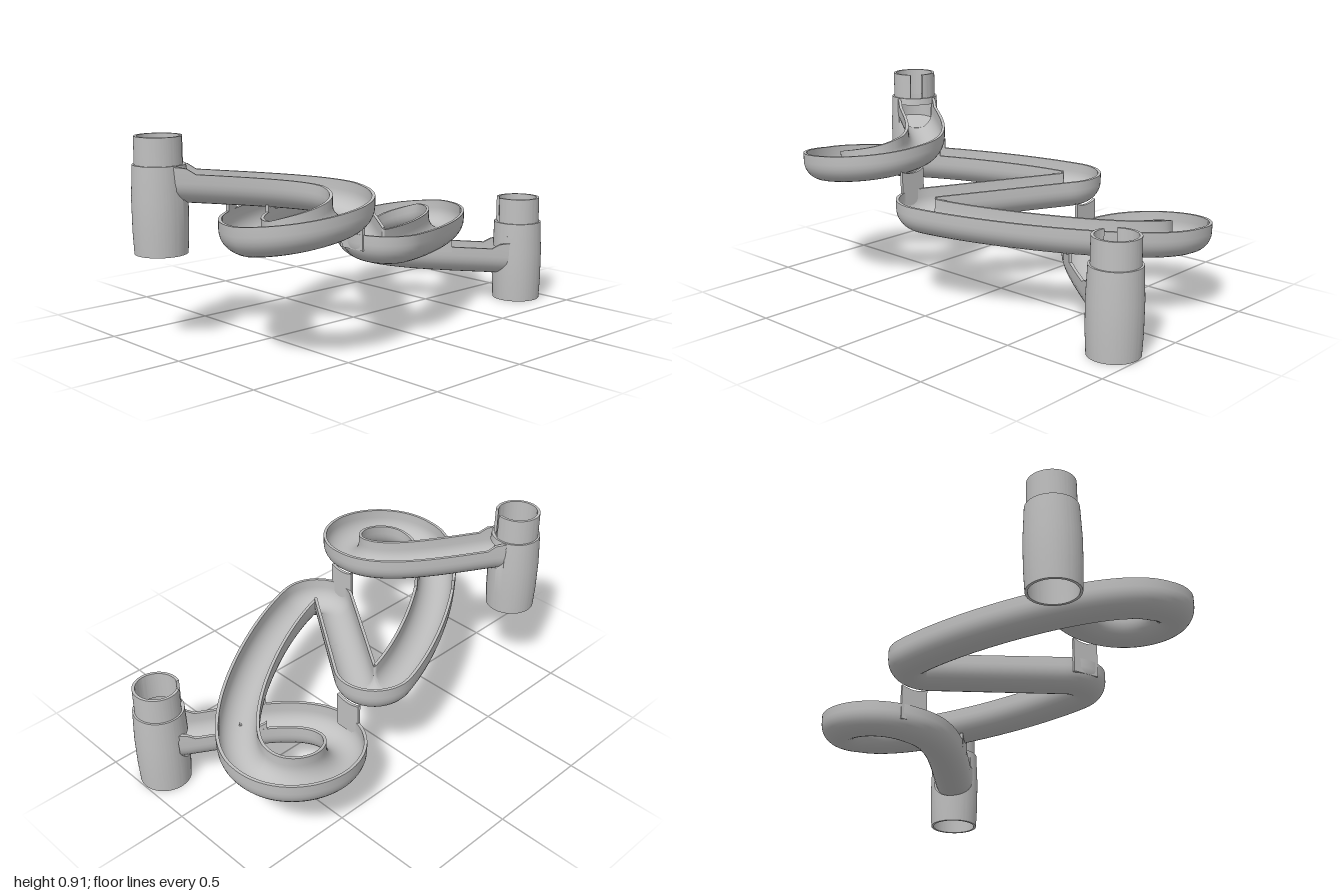
import * as THREE from 'three';
import { toCreasedNormals } from 'three/addons/utils/BufferGeometryUtils.js';

const R = 0.095, T = 0.014, DEPTH = 0.136, MID = 0.511, DROP = 0.246;
const TRACK_ANGLE = Math.atan2(0.6, 0.8);

// Skin a row of closed sections; each section runs along the outside and back along the inside.
function loft(sections, caps) {
  const m = sections[0].length, pos = [];
  const quad = (a, b, c, d) => {
    for (const p of [a, b, c, a, c, d]) pos.push(p.x, p.y, p.z);
  };
  for (let i = 1; i < sections.length; i++) {
    const s = sections[i], q = sections[i - 1];
    for (let j = 0; j < m; j++) {
      const k = (j + 1) % m;
      quad(s[j], s[k], q[k], q[j]);
    }
  }
  if (caps) {
    const a = sections[0], b = sections[sections.length - 1];
    for (let j = 0; j < m / 2 - 1; j++) {
      quad(a[j], a[j + 1], a[m - 2 - j], a[m - 1 - j]);
      quad(b[m - 1 - j], b[m - 2 - j], b[j + 1], b[j]);
    }
  }
  const g = new THREE.BufferGeometry();
  g.setAttribute('position', new THREE.Float32BufferAttribute(pos, 3));
  return toCreasedNormals(g, 0.6);
}

// Plan of the track (x, z): the first half is drawn, the second is its half-turn copy.
function trackPlan() {
  const cx = 0.112, cz = -0.312, r = 0.088, a0 = -104 * Math.PI / 180, a1 = 35.14 * Math.PI / 180;
  const p = new THREE.Path();
  p.moveTo(-0.796, -0.217);
  p.bezierCurveTo(-0.62, -0.085, -0.341, 0.08, -0.341, 0.27);
  p.bezierCurveTo(-0.341, 0.405, -0.46, 0.497, -0.585, 0.497);
  p.bezierCurveTo(-0.71, 0.497, -0.825, 0.415, -0.825, 0.29);
  p.bezierCurveTo(-0.825, 0.05, -0.25, -0.312, cx + r * Math.cos(a0), cz + r * Math.sin(a0));
  p.absarc(cx, cz, r, a0, a1, false);
  p.lineTo(0, 0);
  const half = p.getSpacedPoints(240);
  const rest = half.slice(0, -1).reverse().map(v => v.clone().negate());
  const points = [...half, ...rest], last = points.length - 1;
  const tangents = points.map((_, i) =>
    points[Math.min(i + 1, last)].clone().sub(points[Math.max(i - 1, 0)]).normalize());
  return { points, tangents, last };
}

// Rim height falls along the track, antisymmetric about the middle
function rimHeight(f) {
  const s = f <= 1 ? f : 2 - f, sign = f <= 1 ? 1 : -1;
  const keys = [[0, DROP], [0.22, 0.195], [0.33, 0.147], [0.45, 0.088], [0.9, 0.017], [1, 0]];
  let i = 1;
  while (i < keys.length - 1 && s > keys[i][0]) i++;
  const [s0, h0] = keys[i - 1], [s1, h1] = keys[i];
  return MID + sign * (h0 + (h1 - h0) * (s - s0) / (s1 - s0));
}

function troughGeometry({ points, tangents, last }) {
  // U-shaped section: (sideways, below rim)
  const n = 16;
  const arc = r => {
    const pts = [[-r, 0]];
    for (let i = 0; i <= n; i++) {
      const a = Math.PI + Math.PI * i / n;
      pts.push([r * Math.cos(a), R - DEPTH + r * Math.sin(a)]);
    }
    pts.push([r, 0]);
    return pts;
  };
  const profile = [...arc(R), ...arc(R - T).reverse()];

  const sections = points.map((p, i) => {
    const a = Math.max(i - 1, 0), b = Math.min(i + 1, last), t = tangents[i];
    const k = tangents[a].cross(tangents[b]) / points[a].distanceTo(points[b]);
    const y = rimHeight(2 * i / last);
    // The rims sweep up where they meet a tower
    const lift = 0.03 * Math.max(0, 1 - Math.min(i, last - i) / 4);
    const end = i === 0 ? 1 : i === last ? -1 : 0;
    return profile.map(([u, v]) => {
      // Pinch the inner wall at tight bends so it never folds back
      const w = u * k > 0.97 ? 0.97 / k : u;
      // The end sections wrap around the round tower wall
      const back = end * (Math.sqrt(0.108 ** 2 - u * u) - 0.105);
      return new THREE.Vector3(p.x - t.y * w + t.x * back, y + v + (v === 0 ? lift : 0),
        p.y + t.x * w + t.y * back);
    });
  });
  return loft(sections, true);
}

// Ring wall from a [radius, y] profile, with an optional height limit for each angle
function ringWall(profile, from, to, limit = () => Infinity) {
  const sections = [], n = Math.max(8, Math.round((to - from) / (Math.PI * 2) * 120));
  for (let i = 0; i <= n; i++) {
    const a = to + (from - to) * i / n;
    sections.push(profile.map(([r, y]) =>
      new THREE.Vector3(r * Math.cos(a), Math.min(y, limit(a)), r * Math.sin(a))));
  }
  return loft(sections, to - from < 6.28);
}

export function createModel() {
  const group = new THREE.Group();
  const grey = new THREE.MeshStandardMaterial({ color: 0xc0c0c0 });
  grey.name = 'light grey plastic';
  const add = (parent, name, geometry) => {
    const mesh = new THREE.Mesh(geometry, grey);
    mesh.name = name;
    parent.add(mesh);
    return mesh;
  };

  const plan = trackPlan();
  add(group, 'trackTrough', troughGeometry(plan));

  // Hollow connector towers with a cutout for the trough and a slit in the neck
  function tower(name, x, y, z, dir, rim) {
    const t = new THREE.Group();
    t.name = name;
    t.position.set(x, y, z);
    group.add(t);
    const notch = a => {
      const d = 0.118 * Math.sin(a - dir);
      if (Math.cos(a - dir) < 0 || Math.abs(d) > 0.092) return Infinity;
      return rim - DEPTH + R - Math.sqrt(R * R - d * d);
    };
    add(t, 'towerBody', ringWall([[0.116, 0], [0.121, 0.1], [0.122, 0.24], [0.115, 0.39],
      [0.1, 0.39], [0.106, 0.24], [0.106, 0.1], [0.104, 0]], 0, Math.PI * 2, notch));
    const w = 0.93;
    add(t, 'cutoutLintel', ringWall([[0.119, rim], [0.115, 0.39], [0.1, 0.39], [0.104, rim]],
      dir - w, dir + w));
    add(t, 'towerNeck', ringWall([[0.106, 0.38], [0.105, 0.512], [0.092, 0.512], [0.092, 0.38]],
      dir + 0.3, dir + Math.PI * 2 - 0.3));
    return t;
  }
  const upper = tower('upperTower', -0.88, 0.4, -0.28, TRACK_ANGLE, MID + DROP - 0.4);
  tower('lowerTower', 0.88, 0, 0.27, TRACK_ANGLE + Math.PI, MID - DROP);

  // Sloped floor that sends the ball out onto the track
  const floor = add(upper, 'towerFloor', new THREE.CylinderGeometry(0.106, 0.106, 0.014, 48));
  floor.position.y = 0.245;
  floor.rotation.set(0.08, 0, -0.11);

  // Support fins with a hollowed top that cradles the track above
  function fin(name, x, z, turn, base, top, radius, h) {
    const a = Math.asin(h / radius);
    const s = new THREE.Shape();
    s.moveTo(-h, base);
    s.lineTo(h, base);
    s.absarc(0, top + radius, radius, -Math.PI / 2 + a, -Math.PI / 2 - a, true);
    s.closePath();
    const g = new THREE.ExtrudeGeometry(s, { depth: T, bevelEnabled: false, curveSegments: 10 });
    g.translate(0, 0, -T / 2);
    const m = add(group, name, g);
    m.position.set(x, 0, z);
    m.rotation.y = turn;
  }

  // A pair of fins standing on the rims of the lower track where it passes under itself
  function crossingFins(name, x, z, from, to, top) {
    const target = new THREE.Vector2(x, z);
    let best = from;
    for (let i = from; i <= to; i++) {
      if (plan.points[i].distanceTo(target) < plan.points[best].distanceTo(target)) best = i;
    }
    const p = plan.points[best], t = plan.tangents[best];
    const base = rimHeight(2 * best / plan.last) - 0.03;
    for (const o of [-1, 1]) {
      const d = o * (R - T / 2);
      fin(name, p.x - t.y * d, p.y + t.x * d, -Math.atan2(t.y, t.x), base, top, R, 0.062);
    }
  }
  crossingFins('upperCrossingFin', -0.53, -0.05, 110, 220, 0.598);
  crossingFins('lowerCrossingFin', 0.53, 0.05, plan.last - 80, plan.last, 0.305);
  fin('upperBendFin', -0.283, 0.3, Math.PI / 2, 0.42, 0.575, 0.15, 0.066);
  fin('lowerBendFin', 0.264, -0.3, Math.PI / 2, 0.25, 0.405, 0.15, 0.066);
  return group;
}
